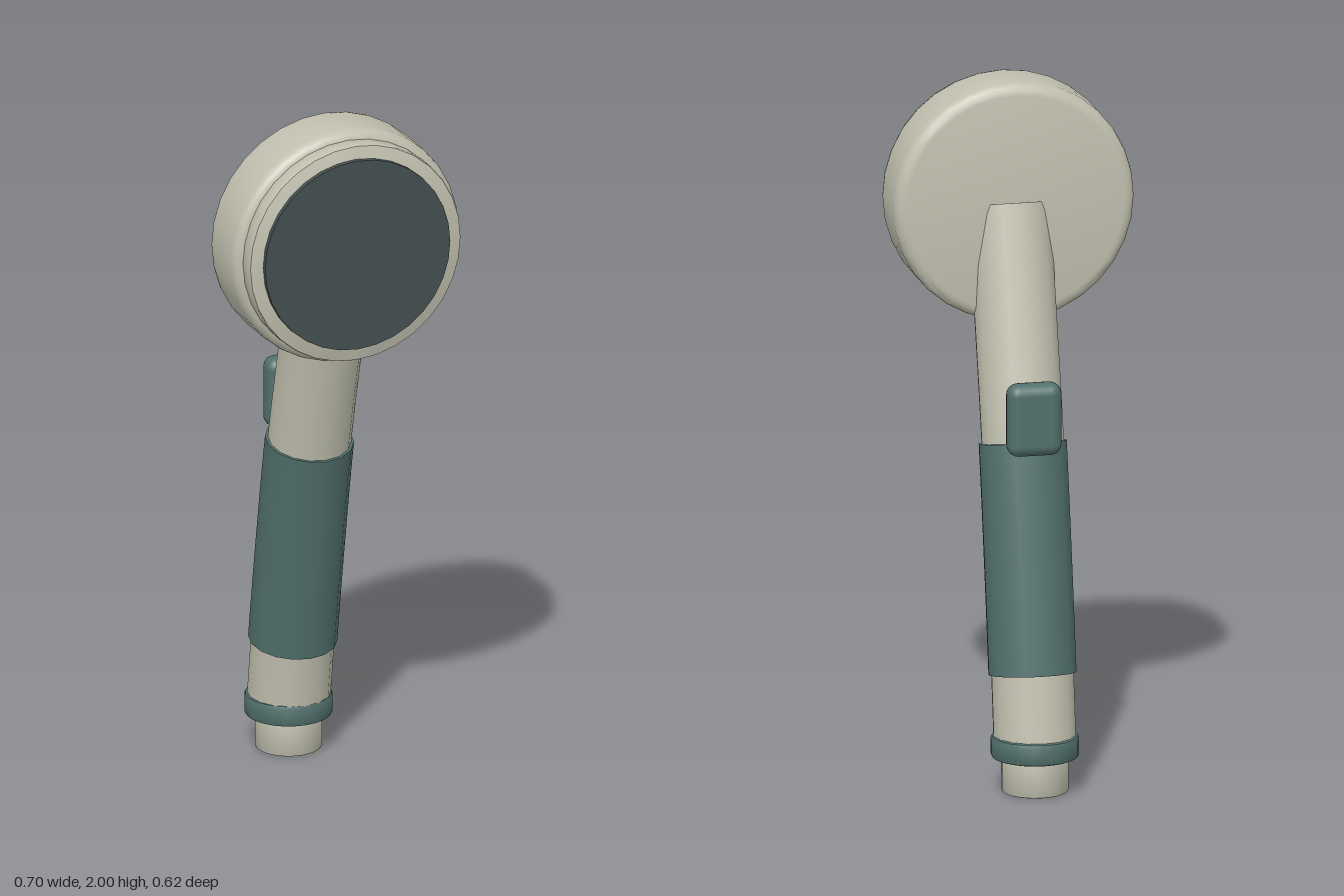
import * as THREE from 'three';
import { toCreasedNormals } from 'three/addons/utils/BufferGeometryUtils.js';
import { RoundedBoxGeometry } from 'three/addons/geometries/RoundedBoxGeometry.js';

const makeMaterial = (name, color) => {
  const m = new THREE.MeshStandardMaterial({ color });
  m.name = name;
  return m;
};

export function createModel() {
  const model = new THREE.Group();
  model.name = 'handShower';
  const beige = makeMaterial('warm grey', 0xc2c1b0);
  const teal = makeMaterial('teal', 0x52706c);
  const dark = makeMaterial('dark slate', 0x435050);

  const add = (name, geometry, material, parent = model) => {
    const mesh = new THREE.Mesh(geometry, material);
    mesh.name = name;
    parent.add(mesh);
    return mesh;
  };

  // Solid of revolution from [radius, height] pairs, bottom to top
  const turned = (profile, sides) => toCreasedNormals(
    new THREE.LatheGeometry(profile.map(([r, h]) => new THREE.Vector2(r, h)), sides), 0.7);

  // Disc profile with rounded rims
  const roundedDisc = (r, h0, h1, bevel, steps = 4) => {
    const pts = [[0, h0]];
    for (let i = 0; i <= steps; i++) {
      const a = (i / steps) * Math.PI / 2;
      pts.push([r - bevel + bevel * Math.sin(a), h0 + bevel - bevel * Math.cos(a)]);
    }
    for (let i = 0; i <= steps; i++) {
      const a = (i / steps) * Math.PI / 2;
      pts.push([r - bevel + bevel * Math.cos(a), h1 - bevel + bevel * Math.sin(a)]);
    }
    pts.push([0, h1]);
    return pts;
  };

  // Gently curved centre line of the handle, as [y, z]
  const spine = new THREE.CatmullRomCurve3(
    [[0.13, -0.186], [0.335, -0.155], [0.66, -0.098], [0.978, -0.035], [1.285, 0.043], [1.63, 0.135]]
      .map(([y, z]) => new THREE.Vector3(0, y, z)));

  // Capped tube following the spine between two parameters
  const spineTube = (name, t0, t1, radius, material) => {
    const group = new THREE.Group();
    group.name = name;
    const pts = [];
    for (let i = 0; i <= 12; i++) pts.push(spine.getPoint(t0 + (t1 - t0) * i / 12));
    const path = new THREE.CatmullRomCurve3(pts);
    add(name + 'Wall', new THREE.TubeGeometry(path, 20, radius, 16), material, group);
    [[0, -1], [1, 1]].forEach(([t, sign]) => {
      const cap = add(name + 'Cap', new THREE.CircleGeometry(radius, 16), material, group);
      const p = path.getPoint(t);
      cap.position.copy(p);
      cap.lookAt(p.clone().addScaledVector(path.getTangent(t), sign));
    });
    model.add(group);
  };
  spineTube('handle', 0, 1, 0.118, beige);
  spineTube('gripSleeve', 0.2, 0.6, 0.126, teal);

  // Hose connector and collar at the foot
  const connector = add('hoseConnector', turned(roundedDisc(0.095, 0, 0.14, 0.006, 2), 24), beige);
  const collar = add('collar', turned(roundedDisc(0.125, 0.1, 0.165, 0.01, 2), 24), teal);
  connector.position.z = collar.position.z = -0.185;

  // Spray head, facing forward
  const head = new THREE.Group();
  head.name = 'sprayHead';
  head.position.y = 1.652;
  head.rotation.x = Math.PI / 2;
  model.add(head);
  add('headShell', turned(roundedDisc(0.348, 0.048, 0.245, 0.034), 32), beige, head);
  add('faceRim', turned(roundedDisc(0.324, 0.23, 0.294, 0.006, 2), 32), beige, head);
  add('sprayPlate', turned([[0, 0.28], [0.284, 0.28], [0.284, 0.309], [0, 0.309]], 32), dark, head);

  // Push button behind the handle
  const button = add('button', new RoundedBoxGeometry(0.156, 0.21, 0.074, 3, 0.032), teal);
  button.position.set(0, 1.08, -0.172);

  return model;
}
